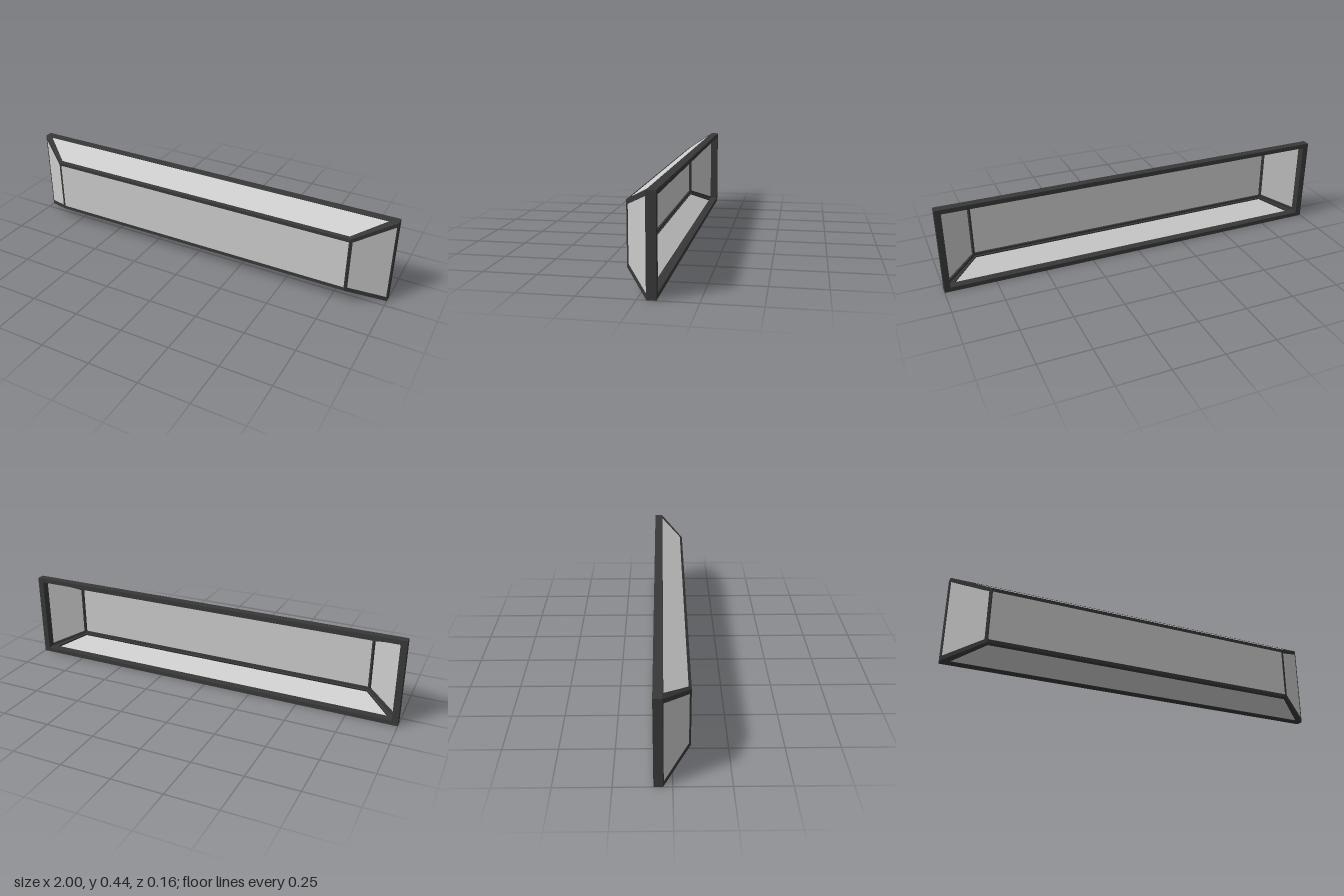
import * as THREE from 'three';

const frameMat = new THREE.MeshStandardMaterial({ color: 0x383838, side: THREE.DoubleSide, flatShading: true });
const glassMat = new THREE.MeshStandardMaterial({ color: 0xcccccc, side: THREE.DoubleSide, flatShading: true });

const MID = 0.2185;              // height of the centre line
const BACK = { x: 1, y: 0.2185, z: -0.04 };    // half sizes where the bay leaves the back frame
const FRONT = { x: 0.82, y: 0.143, z: 0.08 };  // half sizes of the front window
const IN_BACK = { x: 0.978, y: 0.2045, z: -0.04 };
const IN_FRONT = { x: 0.816, y: 0.137, z: 0.068 };
const DEPTH = 0.012;             // thickness of the bars
const SINK = 0.002;              // how far the glass sits below the bars

const v = (x, y, z) => new THREE.Vector3(x, y, z);

// Flat quads, each given by four corners in counter-clockwise order
function quads(list) {
  const pos = [];
  for (const [a, b, c, d] of list)
    for (const p of [a, b, c, a, c, d]) pos.push(p.x, p.y, p.z);
  const g = new THREE.BufferGeometry();
  g.setAttribute('position', new THREE.Float32BufferAttribute(pos, 3));
  g.computeVertexNormals();
  return g;
}

// One window: bars round a hole plus the pane that fills it
function windowPanel(name, outer, hole, inner) {
  const n = outer[1].clone().sub(outer[0]).cross(outer[2].clone().sub(outer[0])).normalize();
  const sunk = (d) => hole.map((p) => p.clone().addScaledVector(n, -d));
  const rings = [outer, hole, sunk(DEPTH), inner];
  const bars = [];
  for (let r = 0; r < 3; r++)
    for (let i = 0; i < 4; i++) {
      const j = (i + 1) % 4;
      bars.push([rings[r][i], rings[r][j], rings[r + 1][j], rings[r + 1][i]]);
    }
  const group = new THREE.Group();
  group.name = name;
  const frame = new THREE.Mesh(quads(bars), frameMat);
  frame.name = name + 'Bars';
  const pane = new THREE.Mesh(quads([sunk(SINK)]), glassMat);
  pane.name = name + 'Glass';
  group.add(frame, pane);
  return group;
}

// Half width or half height of the sloping shell at depth z
const slope = (axis, z) =>
  THREE.MathUtils.mapLinear(z, BACK.z, FRONT.z, BACK[axis], FRONT[axis]);

// Corner loops for the three kinds of face
const frontLoop = (x, y, z) => [v(-x, -y, z), v(x, -y, z), v(x, y, z), v(-x, y, z)];
const sideLoop = (f, b) => [v(f.x, -f.y, f.z), v(b.x, -b.y, b.z), v(b.x, b.y, b.z), v(f.x, f.y, f.z)];
const topLoop = (f, b) => [v(-f.x, f.y, f.z), v(f.x, f.y, f.z), v(b.x, b.y, b.z), v(-b.x, b.y, b.z)];

export function createModel() {
  const model = new THREE.Group();
  model.name = 'bayWindow';
  const bay = new THREE.Group();
  bay.name = 'bay';
  bay.position.y = MID;
  model.add(bay);

  // Deep rectangular frame at the back
  const shape = new THREE.Shape(frontLoop(1, BACK.y, 0).map((p) => new THREE.Vector2(p.x, p.y)));
  shape.holes.push(new THREE.Path(frontLoop(0.97, 0.1965, 0).map((p) => new THREE.Vector2(p.x, p.y))));
  const backFrame = new THREE.Mesh(
    new THREE.ExtrudeGeometry(shape, { depth: 0.04, bevelEnabled: false }), frameMat);
  backFrame.name = 'backFrame';
  backFrame.position.z = -0.08;
  bay.add(backFrame);

  // Front window
  bay.add(windowPanel('frontWindow',
    frontLoop(FRONT.x, FRONT.y, FRONT.z),
    frontLoop(0.815, 0.126, FRONT.z),
    frontLoop(IN_FRONT.x, IN_FRONT.y, IN_FRONT.z)));

  // Sloping side and top windows, mirrored to the far side
  for (const s of [1, -1]) {
    const side = windowPanel(s > 0 ? 'leftWindow' : 'rightWindow',
      sideLoop(FRONT, BACK),
      sideLoop({ x: slope('x', 0.073), y: 0.126, z: 0.073 }, { x: slope('x', -0.037), y: 0.195, z: -0.037 }),
      sideLoop(IN_FRONT, IN_BACK));
    side.scale.x = s;

    const top = windowPanel(s > 0 ? 'topWindow' : 'bottomWindow',
      topLoop(FRONT, BACK),
      topLoop({ x: 0.812, y: slope('y', 0.068), z: 0.068 }, { x: 0.955, y: slope('y', -0.037), z: -0.037 }),
      topLoop(IN_FRONT, IN_BACK));
    top.scale.y = s;
    bay.add(side, top);
  }
  return model;
}
